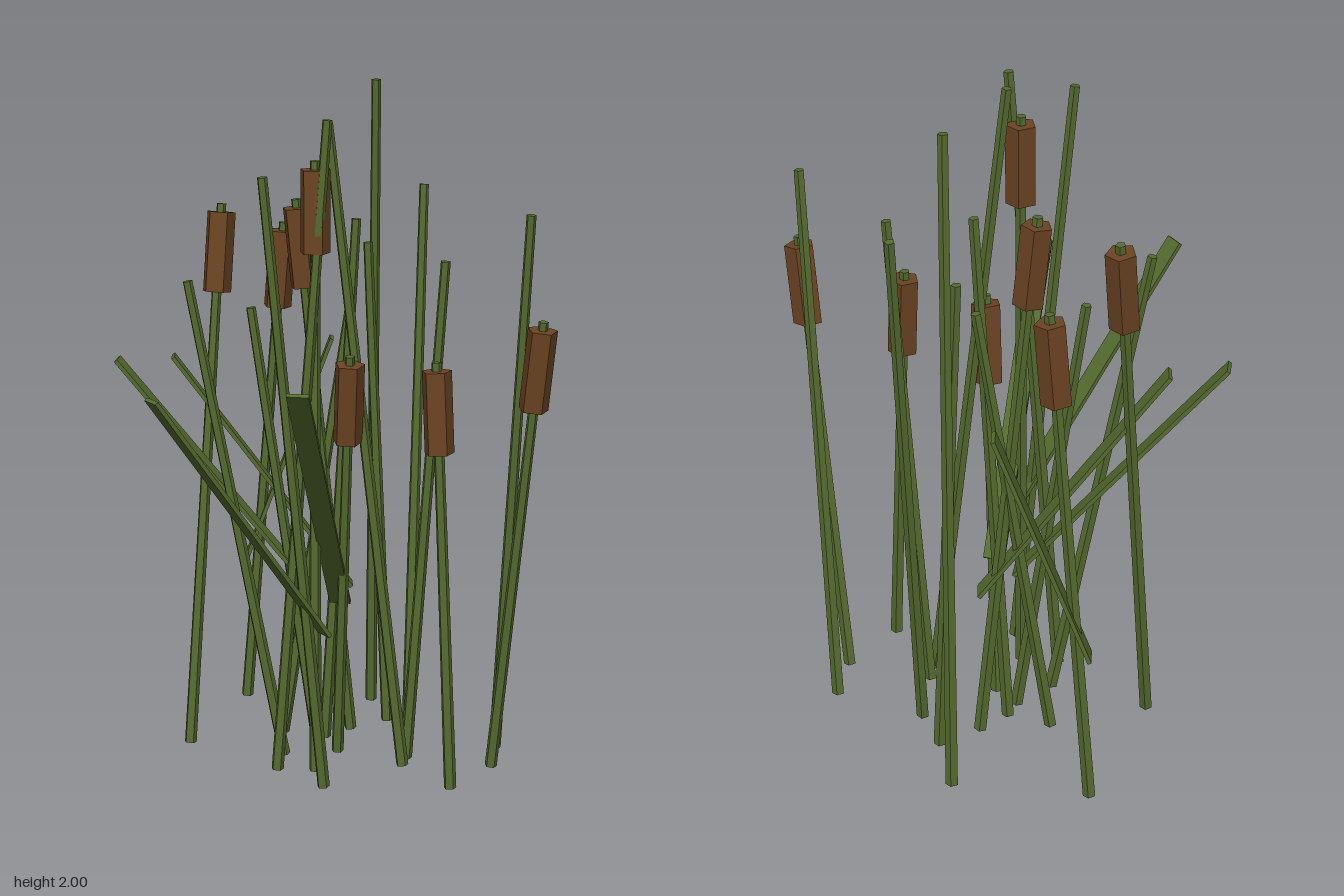
import * as THREE from 'three';

const UP = new THREE.Vector3(0, 1, 0);

export function createModel() {
  const root = new THREE.Group();
  root.name = 'reeds';
  const green = new THREE.MeshStandardMaterial({ color: 0x556b2f, flatShading: true });
  green.name = 'reedGreen';
  const brown = new THREE.MeshStandardMaterial({ color: 0x6b4423, flatShading: true });
  brown.name = 'seedHeadBrown';

  // Five-sided rod between two points
  function rod(name, a, b, rTop, rBottom, material) {
    const dir = b.clone().sub(a);
    const mesh = new THREE.Mesh(new THREE.CylinderGeometry(rTop, rBottom, dir.length(), 5), material);
    mesh.position.copy(a).add(b).multiplyScalar(0.5);
    mesh.quaternion.setFromUnitVectors(UP, dir.normalize());
    mesh.name = name;
    root.add(mesh);
  }

  // Stem from the ground to its tip, with an optional seed head near the tip
  function stem(bx, bz, tx, ty, tz, hasHead) {
    const base = new THREE.Vector3(bx, 0.004, bz);
    const tip = new THREE.Vector3(tx, ty, tz);
    rod(hasHead ? 'cattailStem' : 'reedStem', base, tip, 0.015, 0.019, green);
    if (!hasHead) return;
    const dir = tip.clone().sub(base).normalize();
    rod('seedHead', tip.clone().addScaledVector(dir, -0.265),
      tip.clone().addScaledVector(dir, -0.025), 0.045, 0.045, brown);
  }

  // Flat leaf: its width stays level, its length runs from a to b
  function leaf(ax, ay, az, bx, by, bz) {
    const a = new THREE.Vector3(ax, ay, az);
    const b = new THREE.Vector3(bx, by, bz);
    const along = b.clone().sub(a);
    const mesh = new THREE.Mesh(new THREE.BoxGeometry(0.064, along.length(), 0.012), green);
    along.normalize();
    const side = new THREE.Vector3().crossVectors(along, UP).normalize();
    const normal = new THREE.Vector3().crossVectors(side, along);
    mesh.quaternion.setFromRotationMatrix(new THREE.Matrix4().makeBasis(side, along, normal));
    mesh.position.copy(a).add(b).multiplyScalar(0.5);
    mesh.name = 'leaf';
    root.add(mesh);
  }

  // Cattails: base x, z, then tip x, y, z
  [
    [-0.595, -0.345, -0.497, 1.545, -0.415],
    [0.39, -0.395, 0.575, 1.39, -0.375],
    [-0.14, -0.345, -0.24, 1.67, -0.205],
    [-0.405, 0.09, -0.473, 1.64, -0.125],
    [0.425, -0.17, 0.365, 1.275, -0.155],
    [0.04, 0, 0.018, 1.83, -0.018],
    [-0.03, -0.17, 0.103, 1.265, -0.077],
  ].forEach((c) => stem(...c, true));

  // Bare reeds
  [
    [-0.28, -0.59, -0.207, 2, -0.518],
    [-0.11, -0.48, -0.165, 1.52, -0.44],
    [0.03, -0.42, -0.097, 1.685, -0.615],
    [0.295, -0.525, 0.447, 1.67, -0.467],
    [-0.145, -0.235, -0.055, 1.625, -0.27],
    [0.16, -0.27, 0.252, 1.53, -0.32],
    [-0.125, -0.035, -0.33, 1.46, 0.155],
    [0.15, 0.08, 0.083, 1.82, 0.26],
    [-0.05, 0.07, 0.065, 1.95, -0.02],
    [0.195, -0.215, 0.015, 1.93, -0.075],
    [-0.12, -0.175, -0.275, 1.36, -0.05],
    [-0.27, -0.18, -0.14, 1.39, -0.345],
  ].forEach((s) => stem(...s, false));

  // Leaves leaning outward
  [
    [-0.13, 0.475, -0.335, -0.505, 1.195, 0.05],
    [-0.12, 0.475, -0.18, -0.595, 1.195, 0.195],
    [-0.03, 0.475, -0.18, 0.283, 1.245, 0.325],
    [0.155, 0.475, 0.08, 0.012, 1.235, 0.62],
    [-0.59, 0.475, -0.345, -0.4, 1.18, -0.53],
  ].forEach((l) => leaf(...l));

  return root;
}
